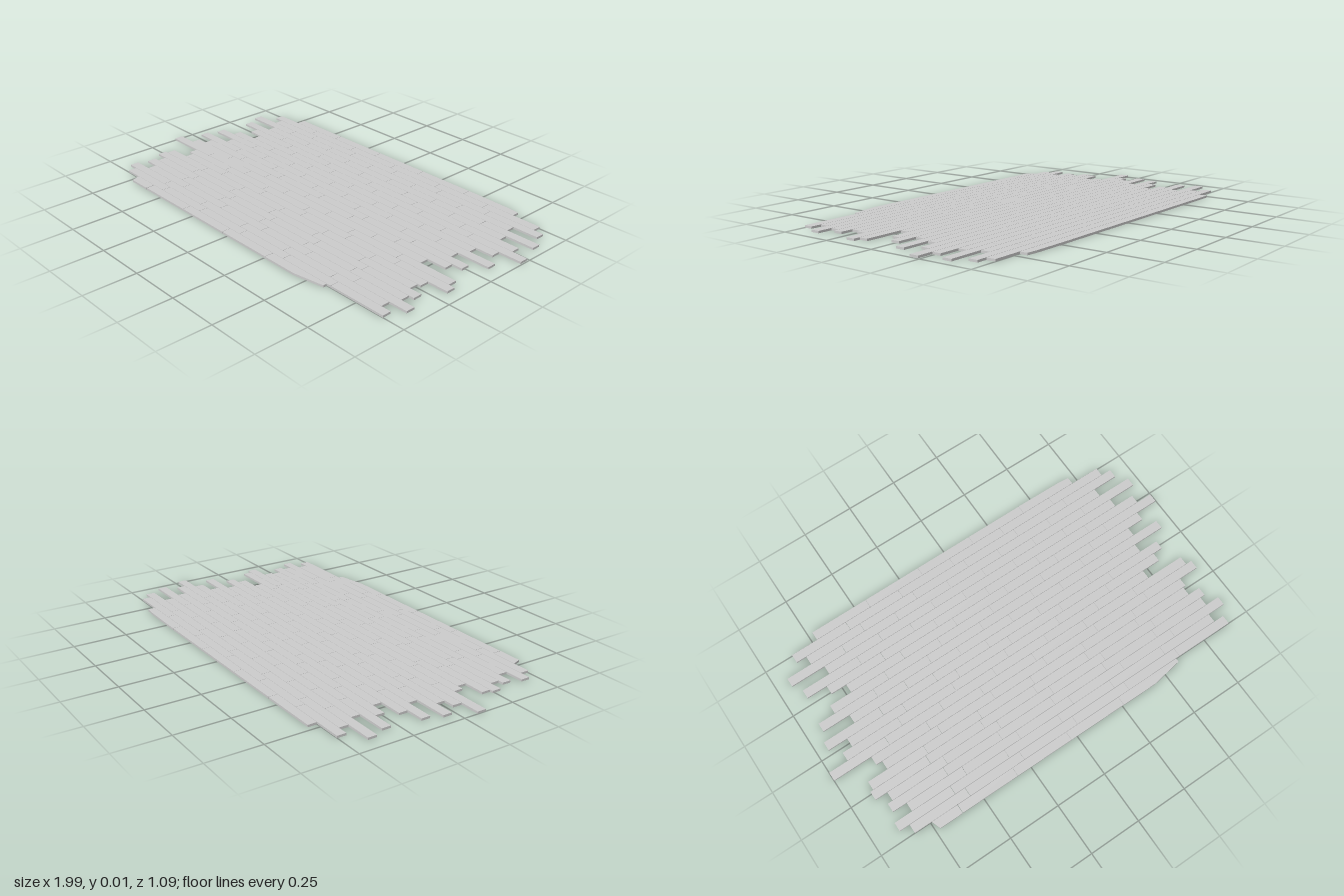
import * as THREE from 'three';

const THICK = 0.01, PITCH = 0.0436, LENGTH = 0.2872, GAP = 0.0016, BACK = -0.545;
const material = new THREE.MeshStandardMaterial({ color: 0xcccccc, flatShading: true });

// Left end (-x side) of every full row, from back to front; each row holds six planks
const rowStarts = [
  -0.86, -0.81, -0.935, -0.765, -0.905, -0.805, -0.728, -0.84, -0.925, -0.79, -0.95, -0.855,
  -0.905, -1, -0.81, -0.78, -0.88, -0.895, -0.835, -0.86, -0.79, -0.88, -0.83,
];

// Straight plank between two x positions in a given row
function plank(x0, x1, row) {
  const geometry = new THREE.BoxGeometry(x1 - x0 - GAP, THICK, PITCH - GAP);
  const mesh = new THREE.Mesh(geometry, material);
  mesh.position.set((x0 + x1) / 2, THICK / 2, BACK + (row + 0.5) * PITCH);
  mesh.name = 'plank';
  return mesh;
}

// Plank sawn to an outline of [x, z] corners
function cutPlank(corners) {
  const shape = new THREE.Shape(corners.map(([x, z]) => new THREE.Vector2(x, -z)));
  const geometry = new THREE.ExtrudeGeometry(shape, { depth: THICK, bevelEnabled: false });
  geometry.rotateX(-Math.PI / 2);
  const mesh = new THREE.Mesh(geometry, material);
  mesh.name = 'cutPlank';
  return mesh;
}

export function createModel() {
  const floor = new THREE.Group();
  floor.name = 'plankFloor';

  // Full staggered rows
  rowStarts.forEach((start, i) => {
    const row = new THREE.Group();
    row.name = 'plankRow';
    for (let k = 0; k < 6; k++) {
      row.add(plank(start + k * LENGTH, start + (k + 1) * LENGTH, i + 1));
    }
    floor.add(row);
  });

  // Back row: five planks, the last with a slightly trimmed corner
  const backRow = new THREE.Group();
  backRow.name = 'backRow';
  for (let k = 0; k < 4; k++) {
    backRow.add(plank(-0.727 + k * 0.289, -0.727 + (k + 1) * 0.289, 0));
  }
  const backEdge = BACK + PITCH - GAP / 2;
  backRow.add(cutPlank([[0.43, BACK], [0.43, backEdge], [0.717, backEdge], [0.717, -0.537], [0.66, -0.542]]));
  floor.add(backRow);

  // Front row: three whole planks between two ends cut at an angle
  const frontRow = new THREE.Group();
  frontRow.name = 'frontRow';
  const z0 = BACK + 24 * PITCH + GAP / 2, z1 = 0.545;
  for (let k = 0; k < 3; k++) {
    frontRow.add(plank(-0.61 + k * 0.289, -0.61 + (k + 1) * 0.289, 24));
  }
  frontRow.add(cutPlank([[-0.743, z0], [-0.727, z1], [-0.612, z1], [-0.612, z0]]));
  frontRow.add(cutPlank([[0.258, z0], [0.258, z1], [0.435, z1], [0.585, 0.52], [0.585, z0]]));
  floor.add(frontRow);

  return floor;
}
